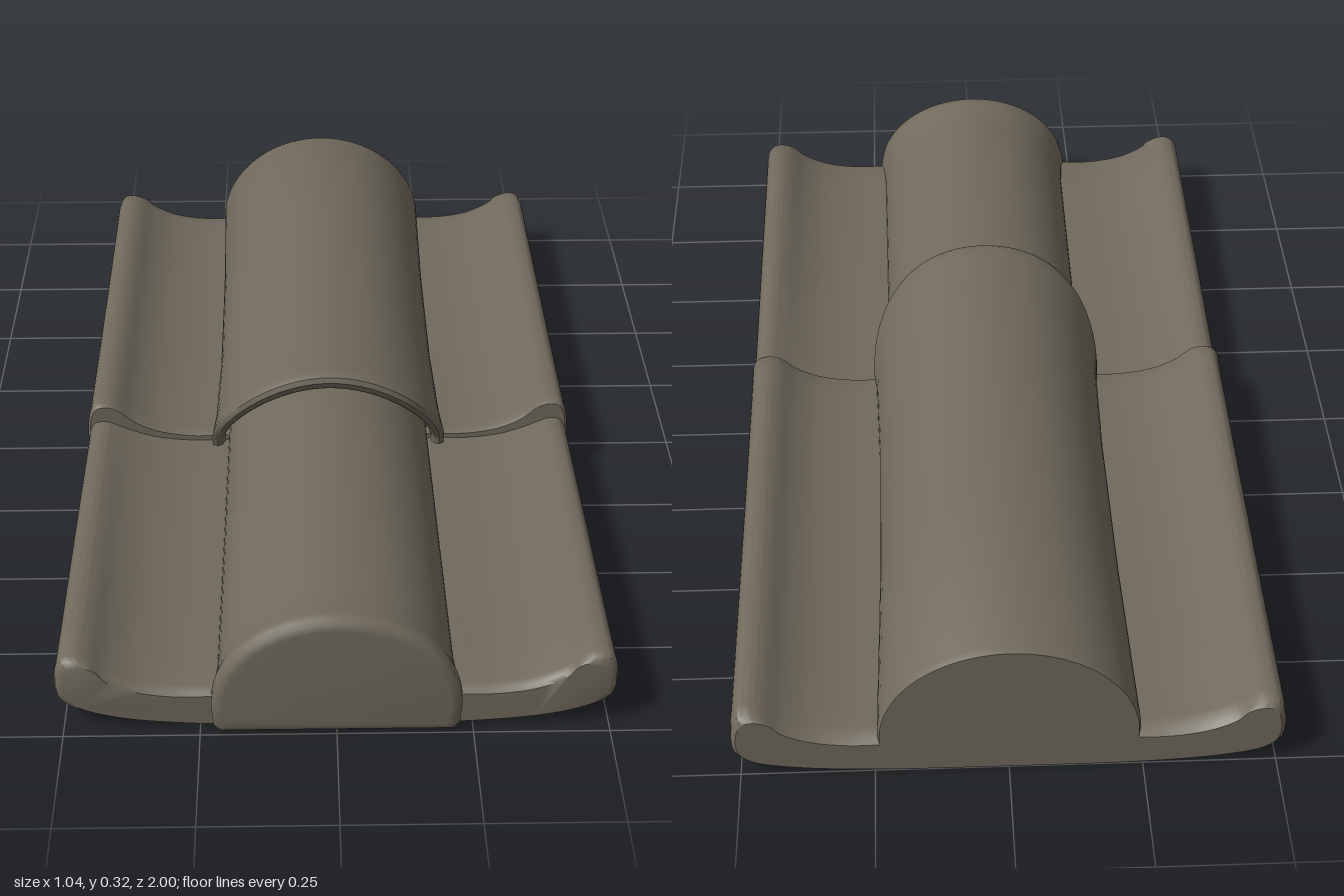
import * as THREE from 'three';
import { toCreasedNormals } from 'three/addons/utils/BufferGeometryUtils.js';

const clay = new THREE.MeshStandardMaterial({ color: 0x70695c });
clay.name = 'weathered clay';

// Skin over equal-length rings, listed back to front, each counter-clockwise seen from +z
function loft(name, rings, crease = 0.75) {
  const n = rings[0].length, index = [];
  const positions = rings.flat(2);
  for (let i = 0; i < rings.length - 1; i++) {
    for (let j = 0; j < n; j++) {
      const a = i * n + j, b = i * n + (j + 1) % n;
      index.push(a, b, a + n, b, b + n, a + n);
    }
  }
  const cap = (k, flip) => {
    const contour = rings[k].map(p => new THREE.Vector2(p[0], p[1]));
    for (const [a, b, c] of THREE.ShapeUtils.triangulateShape(contour, [])) {
      const o = k * n;
      if (flip) index.push(o + a, o + c, o + b);
      else index.push(o + a, o + b, o + c);
    }
  };
  cap(0, true);
  cap(rings.length - 1, false);
  const geo = new THREE.BufferGeometry();
  geo.setAttribute('position', new THREE.Float32BufferAttribute(positions, 3));
  geo.setIndex(index);
  const mesh = new THREE.Mesh(toCreasedNormals(geo, crease), clay);
  mesh.name = name;
  return mesh;
}

// Trough section: flat underside, curled outer rims
function panRing(z, floor, rim, lift = 0, inset = 0) {
  const w = 0.512 - inset;
  const half = [
    [0.03, 0.004], [0.25, 0.004 + lift * 0.1], [0.4, 0.008 + lift * 0.4],
    [w - 0.025, 0.016 + lift * 0.8], [w, 0.035 + lift], [w, rim - 0.025],
    [w - 0.012, rim - 0.004], [w - 0.035, rim], [w - 0.057, rim - 0.008],
    [0.42, floor + (rim - floor) * 0.52], [0.37, floor + (rim - floor) * 0.18],
    [0.3, floor], [0.22, floor], [0.03, floor],
  ].map(p => new THREE.Vector3(p[0], p[1], 0));
  const right = new THREE.CatmullRomCurve3(half, false, 'centripetal').getPoints(52);
  const left = right.slice().reverse().map(p => new THREE.Vector3(-p.x, p.y, 0));
  return [...right, ...left].map(p => [p.x, p.y, z]);
}

// Arched section with short straight sides; slope sweeps the low edge backwards
function archRing(z, rx, top, spring, base, slope = 0) {
  const pts = [[rx * 0.94, base], [rx * 0.985, base + 0.012]];
  const steps = 40;
  for (let i = 0; i <= steps; i++) {
    const a = Math.PI * i / steps;
    pts.push([rx * Math.cos(a), spring + (top - spring) * Math.sin(a)]);
  }
  pts.push([-rx * 0.985, base + 0.012], [-rx * 0.94, base]);
  return pts.map(([x, y]) => {
    const t = THREE.MathUtils.clamp((y - 0.08) / (top - 0.08), 0, 1);
    return [x, y, z - slope * Math.pow(1 - t, 1.7)];
  });
}

export function createModel() {
  const group = new THREE.Group();
  group.name = 'roofTiles';

  // Troughs: the upper one laps over the lower one with a small step
  group.add(loft('lowerPan', [
    panRing(-0.1, 0.07, 0.115),
    panRing(0.08, 0.072, 0.12),
    panRing(0.5, 0.075, 0.136),
    panRing(0.85, 0.078, 0.146, 0.012),
    panRing(0.95, 0.08, 0.15, 0.03),
    panRing(0.965, 0.077, 0.146, 0.035, 0.004),
    panRing(0.972, 0.07, 0.136, 0.04, 0.014),
  ]));
  group.add(loft('upperPan', [
    panRing(-1, 0.072, 0.138, 0.025, 0.01),
    panRing(-0.99, 0.08, 0.146, 0.02, 0.002),
    panRing(-0.96, 0.082, 0.148, 0.015),
    panRing(-0.8, 0.078, 0.147, 0.005),
    panRing(-0.3, 0.082, 0.149),
    panRing(0.04, 0.086, 0.156),
    panRing(0.07, 0.088, 0.16),
    panRing(0.082, 0.083, 0.154, 0, 0.004),
  ]));

  // Lower cover: solid barrel with a slightly flared front end
  group.add(loft('lowerBarrel', [
    archRing(0, 0.214, 0.256, 0.06, 0.006),
    archRing(0.5, 0.217, 0.251, 0.06, 0.006),
    archRing(0.88, 0.22, 0.246, 0.06, 0.006),
    archRing(0.94, 0.224, 0.247, 0.06, 0.005),
    archRing(0.97, 0.23, 0.255, 0.06, 0.004),
    archRing(0.988, 0.229, 0.254, 0.06, 0.006),
    archRing(0.997, 0.222, 0.247, 0.06, 0.012),
    archRing(1, 0.21, 0.235, 0.06, 0.022),
  ]));

  // Upper cover: the front lip rolls inward over the lower barrel
  group.add(loft('upperBarrel', [
    archRing(-1, 0.241, 0.298, 0.085, 0.008),
    archRing(-0.985, 0.245, 0.302, 0.085, 0.006),
    archRing(-0.6, 0.238, 0.304, 0.085, 0.006),
    archRing(-0.2, 0.237, 0.31, 0.085, 0.006),
    archRing(0.1, 0.243, 0.317, 0.085, 0.02, 0.06),
    archRing(0.21, 0.248, 0.323, 0.085, 0.03, 0.12),
    archRing(0.238, 0.249, 0.326, 0.085, 0.03, 0.14),
    archRing(0.25, 0.246, 0.321, 0.085, 0.032, 0.15),
    archRing(0.254, 0.238, 0.31, 0.085, 0.034, 0.15),
    archRing(0.247, 0.228, 0.295, 0.085, 0.036, 0.15),
    archRing(0.225, 0.222, 0.282, 0.08, 0.038, 0.14),
    archRing(0.15, 0.218, 0.268, 0.075, 0.04, 0.1),
  ]));

  return group;
}
